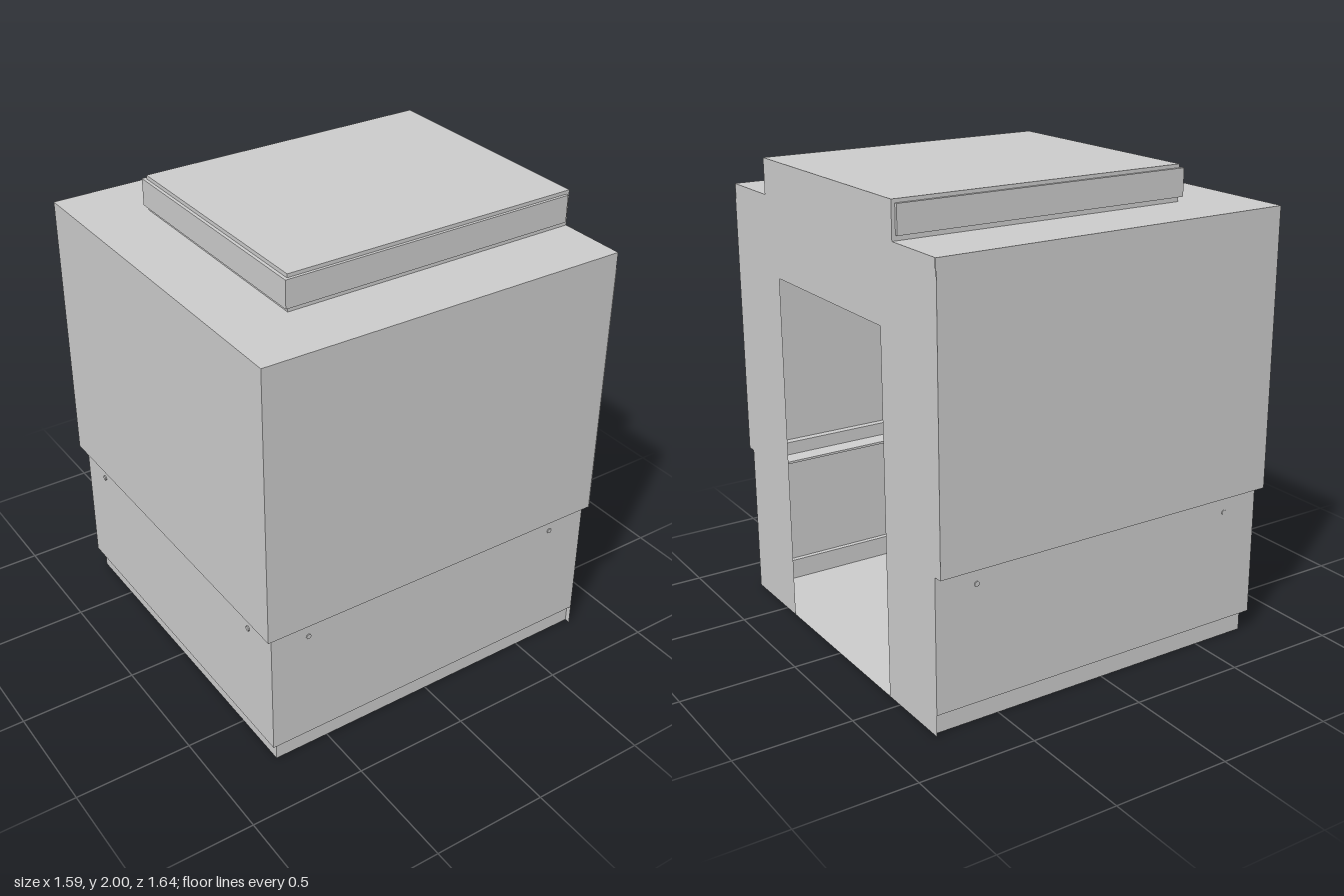
import * as THREE from 'three';

const END = 0.79; // plane of the doorway wall

// Skin over a U-shaped plan (front, far side, back). Each level is [y, x of far wall, half depth, flare at doorway].
function uSkin(levels) {
  const rings = levels.map(([y, x, z, flare = 0]) => [
    [END, y, z + flare], [x, y, z], [x, y, -z], [END, y, -z - flare],
  ]);
  const pos = [];
  for (let i = 0; i + 1 < rings.length; i++) {
    for (let k = 0; k < 3; k++) {
      const a = rings[i][k], b = rings[i][k + 1], c = rings[i + 1][k + 1], d = rings[i + 1][k];
      pos.push(...a, ...d, ...c, ...a, ...c, ...b);
    }
  }
  const g = new THREE.BufferGeometry();
  g.setAttribute('position', new THREE.Float32BufferAttribute(pos, 3));
  g.computeVertexNormals();
  return g;
}

export function createModel() {
  const group = new THREE.Group();
  const mat = new THREE.MeshStandardMaterial({ color: 0xcccccc, side: THREE.DoubleSide, flatShading: true });
  const add = (name, geo, x = 0, y = 0, z = 0) => {
    const m = new THREE.Mesh(geo, mat);
    m.name = name;
    m.position.set(x, y, z);
    group.add(m);
    return m;
  };

  // Thin hollow shell in stepped tiers
  add('plinthWall', uSkin([[0, -0.742, 0.755], [0.09, -0.742, 0.755], [0.09, -0.768, 0.778]]));
  add('lowerWall', uSkin([[0.09, -0.768, 0.778], [0.66, -0.768, 0.778], [0.66, -0.795, 0.803, 0.012]]));
  add('upperWall', uSkin([[0.66, -0.795, 0.803, 0.012], [1.85, -0.795, 0.803, 0.012], [1.85, -0.51, 0.52]]));
  add('raisedRoofWall', uSkin([[1.85, -0.51, 0.52], [2, -0.51, 0.52]]));

  // Floor and raised roof panel
  const slab = (name, x, halfZ, y, up) => {
    const g = new THREE.PlaneGeometry(END - x, halfZ * 2);
    g.rotateX(up ? -Math.PI / 2 : Math.PI / 2);
    add(name, g, (END + x) / 2, y, 0);
  };
  slab('floor', -0.742, 0.755, 0, false);
  slab('roofPanel', -0.51, 0.52, 2, true);

  // End wall: mirrored stepped outline with the doorway cut up from the ground
  const half = [[0.42, 1.52], [0.42, 0], [0.778, 0], [0.778, 0.66], [0.818, 0.66],
    [0.818, 1.785], [0.812, 1.785], [0.812, 1.85], [0.52, 1.85], [0.52, 2]];
  const outline = [
    ...half.map(([u, y]) => new THREE.Vector2(u, y)),
    ...half.slice().reverse().map(([u, y]) => new THREE.Vector2(-u, y)),
  ];
  const wall = new THREE.ShapeGeometry(new THREE.Shape(outline));
  wall.rotateY(Math.PI / 2);
  add('doorwayWall', wall, END, 0, 0);

  // Sloped rail around the inside of the lower wall
  add('innerRail', uSkin([[0.573, -0.768, 0.778], [0.573, -0.73, 0.74], [0.583, -0.73, 0.74], [0.602, -0.768, 0.778]]));

  // Trim band around the raised roof
  const bandH = 0.115, bandY = 1.9275;
  for (const s of [1, -1]) {
    add(s > 0 ? 'frontRoofBand' : 'backRoofBand', new THREE.BoxGeometry(1.3, bandH, 0.014), 0.125, bandY, s * 0.525);
  }
  add('sideRoofBand', new THREE.BoxGeometry(0.014, bandH, 1.036), -0.518, bandY, 0);

  // Small bolts that pin the rail through the walls
  const bolt = new THREE.CylinderGeometry(0.011, 0.011, 0.012, 8);
  for (const s of [1, -1]) {
    for (const x of [-0.6, 0.61]) add('wallBolt', bolt, x, 0.587, s * 0.776).rotation.x = Math.PI / 2;
    add('sideBolt', bolt, -0.768, 0.587, s * 0.61).rotation.z = Math.PI / 2;
  }

  return group;
}
